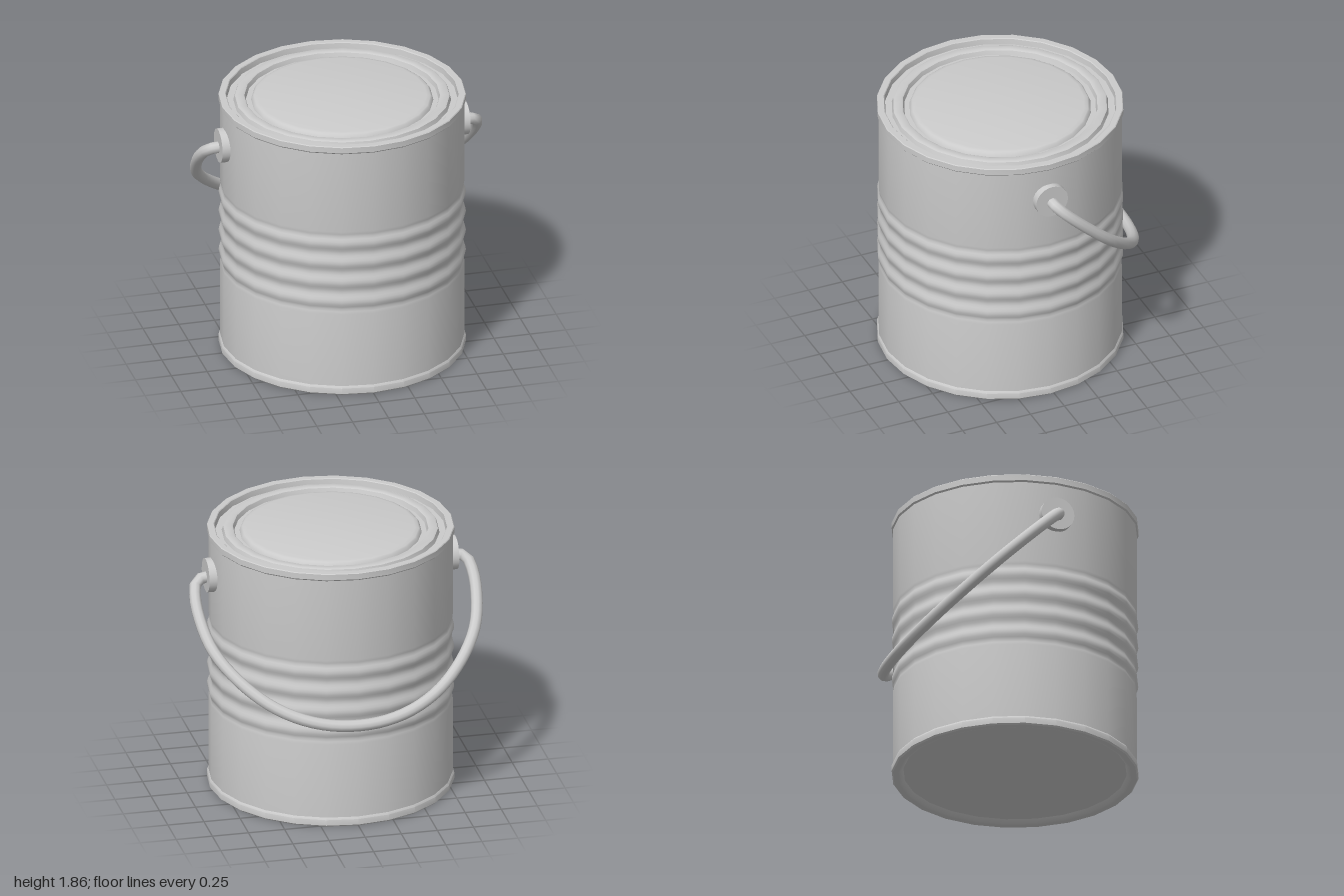
import * as THREE from 'three';
import { toCreasedNormals } from 'three/addons/utils/BufferGeometryUtils.js';

const CAN_Z = 0.03; // the can sits slightly forward, the handle hangs behind
const SIDES = 24;

export function createModel() {
  const group = new THREE.Group();
  const material = new THREE.MeshStandardMaterial({ color: 0xcccccc });

  const add = (name, geometry) => {
    const mesh = new THREE.Mesh(geometry, material);
    mesh.name = name;
    group.add(mesh);
    return mesh;
  };
  const turned = (name, profile) => {
    const points = profile.map(([r, y]) => new THREE.Vector2(r, y));
    const mesh = add(name, toCreasedNormals(new THREE.LatheGeometry(points, SIDES), 0.6));
    mesh.position.z = CAN_Z;
    return mesh;
  };

  // Recessed bottom with its rolled rim
  turned('bottomRim', [
    [0, 0.03], [0.755, 0.03], [0.775, 0.005], [0.79, 0], [0.825, 0], [0.835, 0.01],
    [0.835, 0.05], [0.825, 0.065],
  ]);

  // Wall with four shallow pressed ribs
  const wall = [[0.825, 0.06], [0.825, 0.6]];
  const ribs = 4, steps = 8, low = 0.62, high = 1.2;
  for (let i = 0; i <= ribs * steps; i++) {
    const t = i / steps;
    wall.push([0.825 + 0.009 * Math.sin(t * Math.PI * 2 - Math.PI / 2) * (i === 0 || i === ribs * steps ? 0.3 : 1),
      low + (high - low) * t / ribs]);
  }
  wall.push([0.825, 1.22], [0.825, 1.81]);
  turned('wall', wall);

  // Rolled top rim
  turned('topRim', [
    [0.825, 1.805], [0.835, 1.815], [0.835, 1.855], [0.83, 1.86], [0.79, 1.86], [0.785, 1.855], [0.78, 1.815],
  ]);

  // Lid: channel, raised ring, inner channel and flat centre plate
  turned('lid', [
    [0.78, 1.815], [0.735, 1.815], [0.725, 1.845], [0.715, 1.85], [0.67, 1.85], [0.66, 1.845],
    [0.65, 1.815], [0.615, 1.815], [0.605, 1.838], [0.595, 1.845], [0.57, 1.85], [0, 1.85],
  ]);

  // Round lugs holding the handle ends
  for (const side of [1, -1]) {
    const lug = add(side > 0 ? 'leftLug' : 'rightLug', new THREE.CylinderGeometry(0.117, 0.117, 0.065, 24));
    lug.rotation.z = Math.PI / 2;
    lug.position.set(side * 0.8325, 1.575, CAN_Z);
  }

  // Wire handle lying in one tilted plane, mirrored about x = 0
  const half = [
    [0.84, 0.03], [0.885, 0.027], [0.935, 0.005], [0.96, -0.06], [0.96, -0.18],
    [0.91, -0.36], [0.79, -0.52], [0.6, -0.675], [0.4, -0.77], [0.2, -0.82],
  ];
  const place = ([x, z]) => new THREE.Vector3(x, 1.565 + (z - CAN_Z) * 0.94, z);
  const path = [
    ...half.map(place), place([0, -0.835]),
    ...half.map(([x, z]) => place([-x, z])).reverse(),
  ];
  add('handle', new THREE.TubeGeometry(new THREE.CatmullRomCurve3(path), 56, 0.04, 10));

  return group;
}
